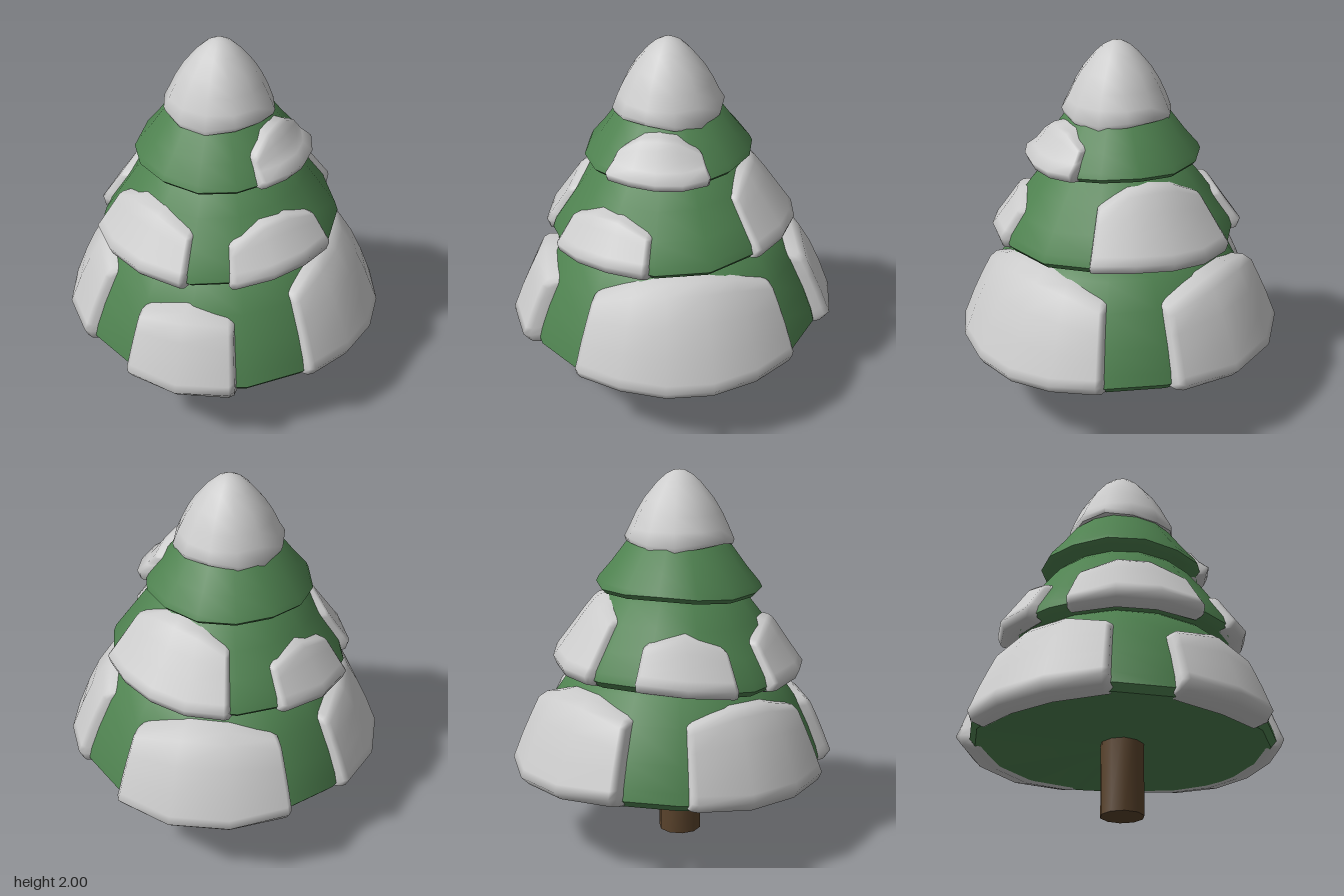
import * as THREE from 'three';
import { toCreasedNormals } from 'three/addons/utils/BufferGeometryUtils.js';

const green = new THREE.MeshStandardMaterial({ color: 0x4f8250 });
const brown = new THREE.MeshStandardMaterial({ color: 0x5a432c });
const snow = new THREE.MeshStandardMaterial({ color: 0xcccccc });
const DEG = Math.PI / 180;

// Each tier: [radius, height] from rim to top, a gentle tilt, and snow patches
// as [start angle, end angle, top height, thickness, corner drop]; 0 = front, 90 = +x
const tiers = [
  {
    name: 'lowerBranches', x: 0, z: 0, tiltX: -0.01, tiltZ: -0.02, wave: 0.012, sides: 16,
    profile: [[0.775, 0.375], [0.805, 0.41], [0.79, 0.47], [0.74, 0.6], [0.66, 0.77], [0.57, 0.9], [0.45, 0.99], [0.3, 1.04]],
    patches: [[45, 135, 0.92, 0.06, 0.12], [-24, 19, 0.8, 0.09, 0.08], [-110, -45, 0.86, 0.06, 0.09], [159, 227, 0.88, 0.1, 0.1]],
  },
  {
    name: 'middleBranches', x: -0.015, z: 0.015, tiltX: 0.03, tiltZ: -0.04, wave: 0.012, sides: 14,
    profile: [[0.6, 0.93], [0.635, 0.965], [0.62, 1.01], [0.55, 1.11], [0.46, 1.24], [0.38, 1.34], [0.28, 1.42]],
    patches: [[-68, -1, 1.25, 0.045, 0.09], [18, 75, 1.2, 0.04, 0.08], [-135, -86, 1.22, 0.045, 0.08], [126, 203, 1.33, 0.04, 0.1]],
  },
  {
    name: 'upperBranches', x: -0.02, z: 0.02, tiltX: 0, tiltZ: -0.04, wave: 0.008, sides: 14,
    profile: [[0.42, 1.36], [0.445, 1.385], [0.43, 1.415], [0.36, 1.5], [0.28, 1.61], [0.2, 1.68]],
    patches: [[40, 112, 1.6, 0.05, 0.1]],
  },
];

// Radius of a tier's slope at height y
function slopeRadius(profile, y) {
  for (let i = 1; i < profile.length; i++) {
    const [r0, y0] = profile[i - 1], [r1, y1] = profile[i];
    if (y <= y1) return THREE.MathUtils.lerp(r0, r1, Math.max(0, (y - y0) / (y1 - y0)));
  }
  return profile[profile.length - 1][0];
}

// Tilt and slight waviness of a tier, strongest at its rim
function sway(t, angle, r) {
  const x = r * Math.sin(angle), z = r * Math.cos(angle);
  return t.tiltX * x + t.tiltZ * z + t.wave * Math.sin(angle * 4 - 2) * (r / t.profile[1][0]) ** 3;
}

function branchGeometry(t) {
  const points = [[0, t.profile[0][1] + 0.015], ...t.profile, [0, t.profile.at(-1)[1]]];
  const geo = new THREE.LatheGeometry(points.map(([r, y]) => new THREE.Vector2(r, y)), t.sides);
  const p = geo.attributes.position;
  for (let i = 0; i < p.count; i++) {
    const x = p.getX(i), z = p.getZ(i);
    p.setY(i, p.getY(i) + sway(t, Math.atan2(x, z), Math.hypot(x, z)));
  }
  return toCreasedNormals(geo, 50 * DEG);
}

// A thick slab of snow lying on the slope, curling under the rim, with sunken edges
function snowGeometry(t, [from, to, top, thick, drop]) {
  const rim = t.profile[1][0], base = t.profile[0][1];
  const inner = Math.max(2, Math.round((to - from) / 20));
  const edge = 1.3 / (to - from);
  const columns = [0, edge];
  for (let i = 0; i <= inner; i++) columns.push(THREE.MathUtils.lerp(edge * 2.6, 1 - edge * 2.6, i / inner));
  columns.push(1 - edge, 1);
  const pos = [], index = [];
  let rows = 0;
  columns.forEach((u, i) => {
    const angle = THREE.MathUtils.lerp(from, to, u) * DEG;
    const lift = [-0.03, 0.65][Math.min(i, columns.length - 1 - i)];
    const full = thick * (0.75 + 0.25 * Math.sin(Math.PI * u));
    const d = lift === undefined ? full : lift < 0 ? lift : full * lift;
    const yTop = top - drop * Math.abs(2 * u - 1) ** 2.5;
    const yLip = base + 0.1;
    const section = [[rim - 0.1, base + 0.025], [rim - 0.05, base - 0.15 * d], [rim + 0.55 * d, base + 0.015], [rim + d, base + 0.06]];
    for (const k of [0, 0.3, 0.62, 0.9]) {
      const y = THREE.MathUtils.lerp(yLip, yTop, k);
      section.push([slopeRadius(t.profile, y) + d, y]);
    }
    section.push([slopeRadius(t.profile, yTop) + d * 0.7, yTop], [slopeRadius(t.profile, yTop) - 0.04, yTop + 0.012]);
    rows = section.length;
    for (const [r, y] of section) pos.push(r * Math.sin(angle), y + sway(t, angle, r), r * Math.cos(angle));
  });
  for (let i = 0; i < columns.length - 1; i++) {
    for (let j = 0; j < rows - 1; j++) {
      const a = i * rows + j, b = a + rows;
      index.push(a, b, b + 1, a, b + 1, a + 1);
    }
  }
  const geo = new THREE.BufferGeometry();
  geo.setAttribute('position', new THREE.Float32BufferAttribute(pos, 3));
  geo.setIndex(index);
  geo.computeVertexNormals();
  return geo;
}

// Rounded snow cap with a scalloped lower edge
function capGeometry() {
  const points = [[0, 1.63], [0.25, 1.61], [0.285, 1.615], [0.293, 1.64], [0.265, 1.7], [0.23, 1.775], [0.185, 1.85],
    [0.115, 1.935], [0.07, 1.975], [0.03, 1.996], [0, 2]].map(([r, y]) => new THREE.Vector2(r, y));
  const geo = new THREE.LatheGeometry(points, 12);
  const p = geo.attributes.position;
  for (let i = 0; i < p.count; i++) {
    const x = p.getX(i), z = p.getZ(i), r = Math.hypot(x, z);
    if (r > 0.24 && p.getY(i) < 1.69) p.setY(i, p.getY(i) + 0.016 * Math.sin(Math.atan2(x, z) * 3 - 1.2));
  }
  return toCreasedNormals(geo, 60 * DEG);
}

export function createModel() {
  const tree = new THREE.Group();
  tree.name = 'snowyTree';
  const add = (parent, name, geo, material, x = 0, y = 0, z = 0) => {
    const mesh = new THREE.Mesh(geo, material);
    mesh.name = name;
    mesh.position.set(x, y, z);
    parent.add(mesh);
  };

  add(tree, 'trunk', toCreasedNormals(new THREE.CylinderGeometry(0.115, 0.115, 0.5, 10), 50 * DEG), brown, -0.02, 0.25, 0.025);

  for (const t of tiers) {
    const group = new THREE.Group();
    group.name = t.name;
    group.position.set(t.x, 0, t.z);
    add(group, 'branches', branchGeometry(t), green);
    t.patches.forEach((patch, i) => add(group, `snowPatch${i + 1}`, snowGeometry(t, patch), snow));
    tree.add(group);
  }

  add(tree, 'snowCap', capGeometry(), snow, -0.02, 0, 0.02);
  return tree;
}
